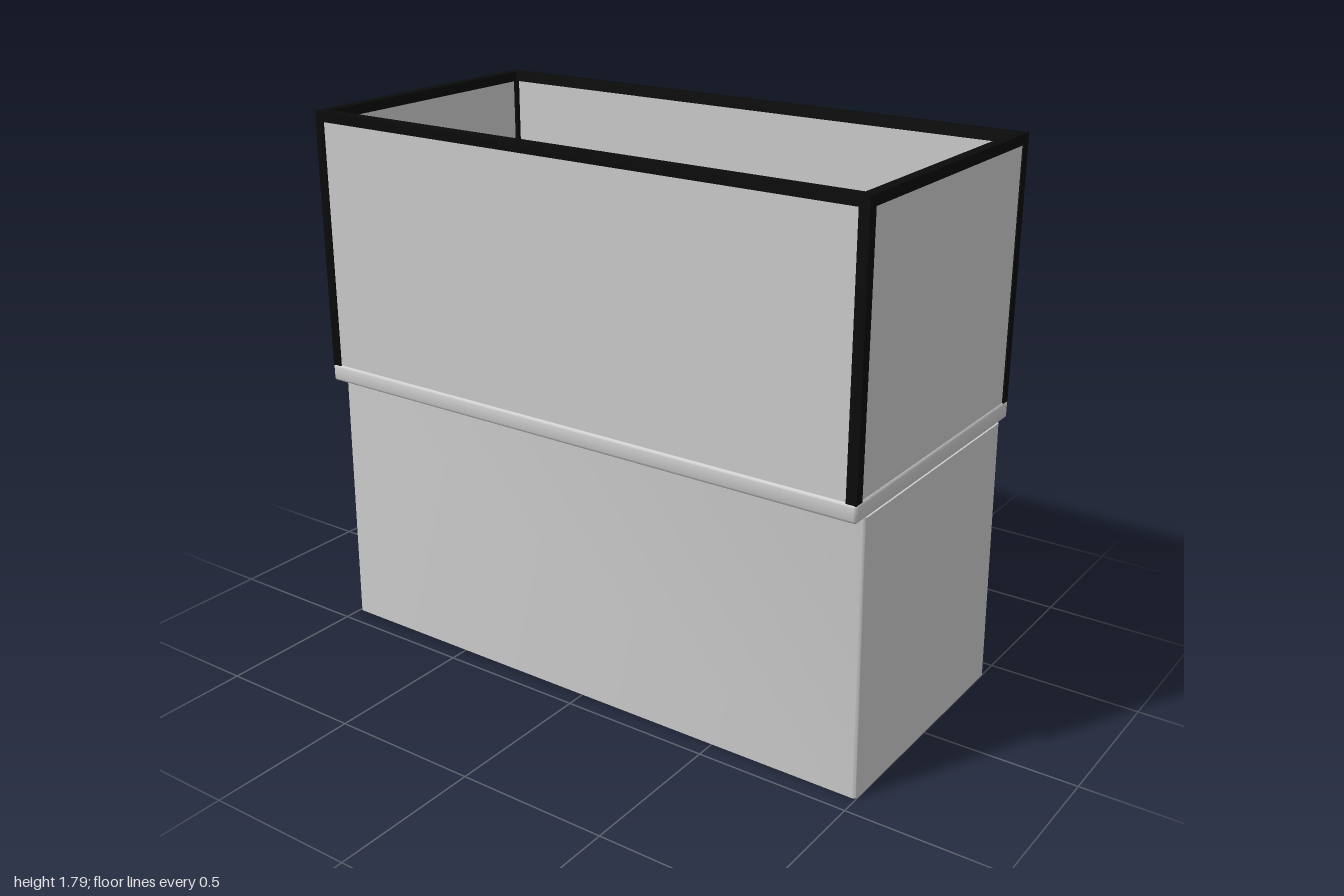
import * as THREE from 'three';
import { toCreasedNormals } from 'three/addons/utils/BufferGeometryUtils.js';

const grey = new THREE.MeshStandardMaterial({ color: 0xcccccc });
const black = new THREE.MeshStandardMaterial({ color: 0x0a0a0a });

const W = 0.985, D = 0.487;        // half width and half depth of the tank
const T = 0.033;                   // frame thickness
const BASE = 0.89, RIM = 0.947, TOP = 1.79;

// Rectangle outline with rounded corners, centred on the origin
function roundedRect(Type, hx, hz, r) {
  const s = new Type();
  s.absarc(hx - r, hz - r, r, 0, Math.PI / 2);
  s.absarc(-hx + r, hz - r, r, Math.PI / 2, Math.PI);
  s.absarc(-hx + r, -hz + r, r, Math.PI, Math.PI * 1.5);
  s.absarc(hx - r, -hz + r, r, Math.PI * 1.5, Math.PI * 2);
  s.closePath();
  return s;
}

export function createModel() {
  const model = new THREE.Group();

  function add(parent, name, geometry, material, x = 0, y = 0, z = 0) {
    const mesh = new THREE.Mesh(geometry, material);
    mesh.name = name;
    mesh.position.set(x, y, z);
    parent.add(mesh);
    return mesh;
  }
  function box(parent, name, material, w, h, d, x, y, z) {
    return add(parent, name, new THREE.BoxGeometry(w, h, d), material, x, y, z);
  }

  // Stand: softened vertical corners, slightly wider at the foot
  const standGeo = new THREE.ExtrudeGeometry(roundedRect(THREE.Shape, 1, 0.435, 0.015),
    { depth: BASE, bevelEnabled: false, curveSegments: 4 });
  standGeo.rotateX(-Math.PI / 2);
  const p = standGeo.attributes.position;
  for (let i = 0; i < p.count; i++) p.setX(i, p.getX(i) * (1 - 0.012 * p.getY(i) / BASE));
  add(model, 'stand', toCreasedNormals(standGeo, 0.6), grey);

  // Bottom rim with a softened upper edge, and the tank floor inside it
  const b = 0.008;
  const rimShape = roundedRect(THREE.Shape, W + 0.002 - b, D + 0.002 - b, 0.003);
  rimShape.holes.push(roundedRect(THREE.Path, W - T + b, D - T + b, 0.003));
  const rimGeo = new THREE.ExtrudeGeometry(rimShape, {
    depth: RIM - BASE - 2 * b, bevelThickness: b, bevelSize: b, bevelSegments: 3, curveSegments: 2 });
  rimGeo.rotateX(-Math.PI / 2);
  add(model, 'bottomRim', toCreasedNormals(rimGeo, 0.7), grey, 0, BASE + b, 0);
  box(model, 'tankFloor', grey, 2 * (W - 0.01), 0.02, 2 * (D - 0.01), 0, BASE + 0.011, 0);

  // Panes, set just inside the frame's outer faces
  const paneH = TOP - 0.01 - BASE - 0.01, paneY = BASE + 0.01 + paneH / 2, t = 0.016, inset = 0.004;
  const panes = new THREE.Group();
  panes.name = 'panes';
  model.add(panes);
  for (const s of [1, -1]) {
    box(panes, s > 0 ? 'frontPane' : 'backPane', grey,
      2 * (W - inset), paneH, t, 0, paneY, s * (D - inset - t / 2));
    box(panes, s > 0 ? 'leftPane' : 'rightPane', grey,
      t, paneH, 2 * (D - inset - t), s * (W - inset - t / 2), paneY, 0);
  }

  // Black frame: top rails and corner posts
  const frame = new THREE.Group();
  frame.name = 'frame';
  model.add(frame);
  const rail = roundedRect(THREE.Shape, W, D, 0.001);
  rail.holes.push(roundedRect(THREE.Path, W - T, D - T, 0.001));
  const railGeo = new THREE.ExtrudeGeometry(rail, { depth: T, bevelEnabled: false, curveSegments: 1 });
  railGeo.rotateX(-Math.PI / 2);
  add(frame, 'topRail', railGeo, black, 0, TOP - T, 0);
  const postH = TOP - T - RIM + 0.004;
  for (const sx of [1, -1]) for (const sz of [1, -1])
    box(frame, 'cornerPost', black, T, postH, T,
      sx * (W - T / 2), TOP - T - postH / 2, sz * (D - T / 2));

  return model;
}
